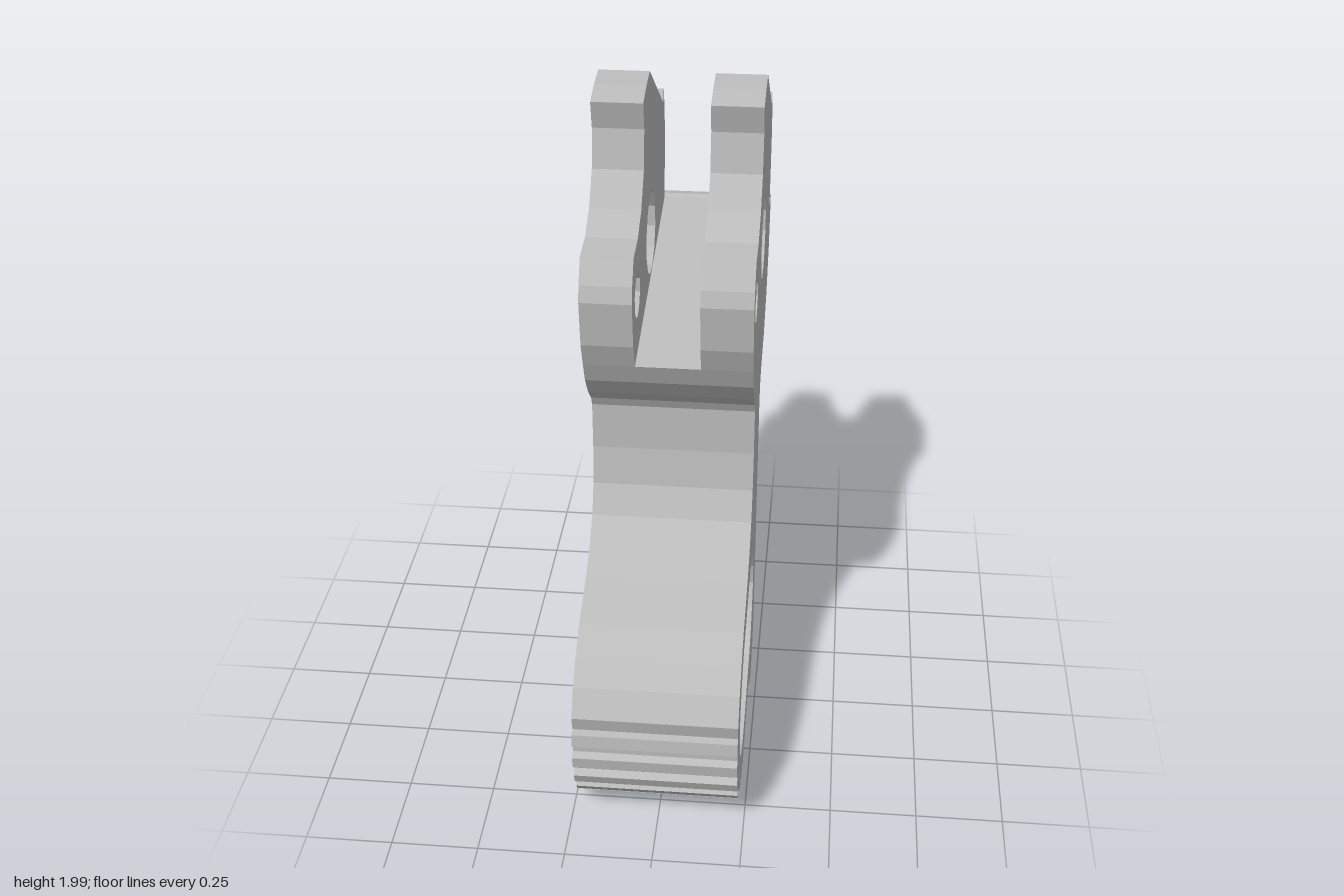
import * as THREE from 'three';

const HALF_WIDTH = 0.232, HALF_SLOT = 0.09;

// All profiles are [z, y] points of the side silhouette.
const upperBack = [
  [-0.02, 1.97], [-0.1, 1.99], [-0.19, 2], [-0.545, 1.78], [-0.565, 1.815],
  [-0.58, 1.765], [-0.595, 1.675], [-0.585, 1.56], [-0.567, 1.453],
];
const backEdge = [
  [-0.613, 1.448], [-0.623, 1.459], [-0.66, 1.451], [-0.613, 1.3], [-0.525, 1.185],
  [-0.4, 1.095], [-0.26, 1.05], [-0.22, 1.015], [-0.205, 0.965], [-0.2, 0.165],
  [-0.14, 0.065], [-0.11, 0.04], [-0.07, 0.025], [-0.035, 0.035], [0.015, 0.075],
  [0.06, 0.095], [0.11, 0.09], [0.15, 0.07],
];
const frontEdge = [
  [0.65, 0.42], [0.605, 0.495], [0.545, 0.55], [0.46, 0.605], [0.3, 0.66], [0.22, 0.705],
  [0.15, 0.77], [0.11, 0.855], [0.095, 0.97], [0.095, 1.11], [0.11, 1.14], [0.165, 1.19],
  [0.215, 1.255], [0.245, 1.32],
];
const upperFront = [
  [0.275, 1.395], [0.293, 1.53], [0.28, 1.575], [0.24, 1.64], [0.14, 1.65],
  [0.05, 1.695], [-0.02, 1.78], [-0.04, 1.89],
];
const slotFloorBack = [[-0.575, 1.465]];
const lowerOpening = [
  [0.54, 0.36], [0.505, 0.43], [0.46, 0.475], [0.41, 0.505], [0.165, 0.57], [0.095, 0.58],
  [0.015, 0.565], [-0.045, 0.52], [-0.08, 0.455], [-0.09, 0.385], [-0.06, 0.31],
  [-0.02, 0.255], [0.05, 0.21], [0.285, 0.14], [0.37, 0.127], [0.445, 0.145],
  [0.5, 0.195], [0.535, 0.265], [0.545, 0.33],
];

// Small teeth around the rounded foot, from underneath to the front
function teeth() {
  const points = [], count = 9, step = 14.9, root = 0.292, tip = 0.313;
  for (let i = 0; i < count; i++) {
    const middle = -113 + i * step;
    for (const [offset, r] of [[-5, root], [-3.5, tip], [3.5, tip], [5, root]]) {
      const a = THREE.MathUtils.degToRad(middle + offset);
      points.push([0.353 + r * Math.cos(a), 0.318 + r * Math.sin(a)]);
    }
  }
  return points;
}

function roundHole(z, y, r, sides) {
  return Array.from({ length: sides }, (_, i) => {
    const a = ((i + 0.5) / sides) * Math.PI * 2;
    return [z + r * Math.cos(a), y + r * Math.sin(a)];
  });
}

const toVectors = (points) => points.map(([z, y]) => new THREE.Vector2(z, y));

// Extrudes a side profile across x, from x0 to x1
function slab(name, outline, holes, x0, x1, material) {
  const shape = new THREE.Shape(toVectors(outline));
  shape.holes = holes.map((h) => new THREE.Path(toVectors(h)));
  const geometry = new THREE.ExtrudeGeometry(shape, { depth: x1 - x0, bevelEnabled: false });
  geometry.rotateY(-Math.PI / 2);
  geometry.translate(x1, 0, 0);
  const mesh = new THREE.Mesh(geometry, material);
  mesh.name = name;
  return mesh;
}

export function createModel() {
  const group = new THREE.Group();
  group.name = 'forkedLever';
  const material = new THREE.MeshStandardMaterial({ color: 0xbababa });
  material.name = 'plainGrey';

  const lower = [...backEdge, ...teeth(), ...frontEdge];
  const cheek = [...upperBack, ...lower, ...upperFront];
  const cheekHoles = [
    lowerOpening,
    roundHole(-0.185, 1.523, 0.121, 12), // pivot hole
    roundHole(0.165, 1.497, 0.065, 10), // pin hole
  ];

  // Two full-height cheeks, and a core that stops at the sloping slot floor
  group.add(
    slab('leftCheek', cheek, cheekHoles, HALF_SLOT, HALF_WIDTH, material),
    slab('rightCheek', cheek, cheekHoles, -HALF_WIDTH, -HALF_SLOT, material),
    slab('core', [...slotFloorBack, ...lower], [lowerOpening], -HALF_SLOT, HALF_SLOT, material),
  );
  return group;
}
